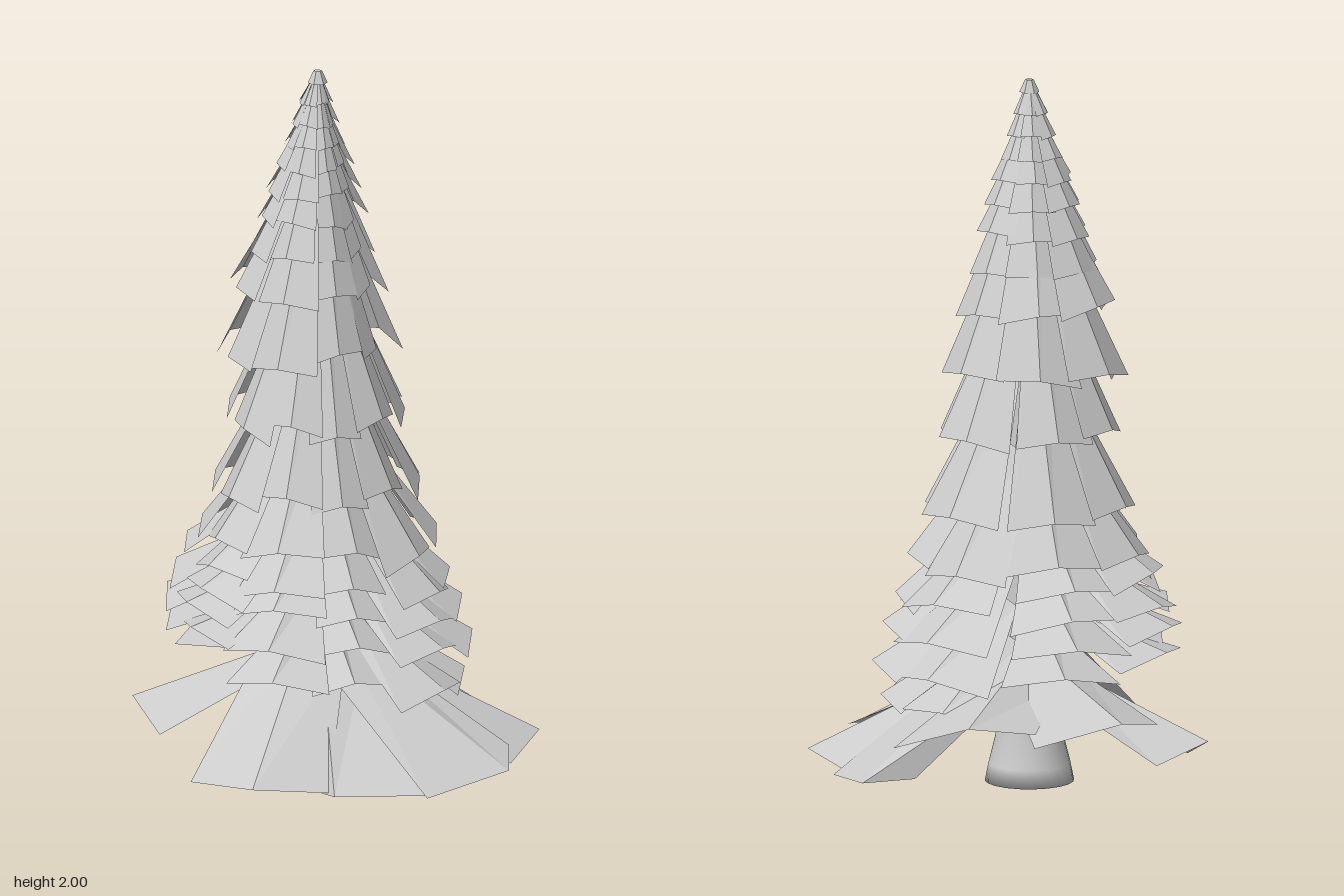
import * as THREE from 'three';

const AXIS = [-0.057, 0.02];
const material = new THREE.MeshStandardMaterial({ color: 0xcccccc, flatShading: true, side: THREE.DoubleSide });
const trunkMaterial = new THREE.MeshStandardMaterial({ color: 0xcccccc });

// Small seeded noise, -1..1
let seed = 7;
const noise = () => {
  seed = (seed * 16807) % 2147483647;
  return (seed / 2147483647) * 2 - 1;
};

// A frond is a folded sheet: two quads meeting on a ridge.
// Points run root left, root ridge, root right, tip left, tip ridge, tip right.
function addFrond(out, rl, r, rr, tl, t, tr) {
  for (const p of [rl, r, t, rl, t, tl, r, rr, tr, r, tr, t]) out.push(...p);
}

function meshFrom(positions, name) {
  const geometry = new THREE.BufferGeometry();
  geometry.setAttribute('position', new THREE.Float32BufferAttribute(positions, 3));
  geometry.computeVertexNormals();
  const mesh = new THREE.Mesh(geometry, material);
  mesh.name = name;
  return mesh;
}

// Point around the trunk axis
const polar = (angle, radius, y) => [
  AXIS[0] + Math.cos(angle) * radius, y, AXIS[1] + Math.sin(angle) * radius,
];

// Broad skirt fronds: tip left, ridge tip, tip right, root height
const SKIRT = [
  [[-0.34, 0.25, -0.44], [-0.21, 0.28, -0.59], [0.03, 0.2, -0.59], 0.36],
  [[0.07, 0.07, -0.4], [0.17, 0.07, -0.52], [0.36, 0.04, -0.35], 0.4],
  [[0.32, 0.05, -0.34], [0.5, 0.08, -0.25], [0.52, 0.05, 0], 0.36],
  [[0.51, 0.1, -0.01], [0.57, 0.07, 0.13], [0.43, 0.04, 0.38], 0.37],
  [[0.43, 0.04, 0.35], [0.2, 0.05, 0.5], [0.14, 0.04, 0.45], 0.38],
  [[0.17, 0.05, 0.47], [-0.01, 0.07, 0.59], [-0.24, 0.04, 0.49], 0.42],
  [[-0.45, 0.08, 0.22], [-0.58, 0.15, 0.11], [-0.5, 0.1, -0.04], 0.34],
  [[-0.55, 0.24, -0.12], [-0.55, 0.28, -0.32], [-0.36, 0.22, -0.48], 0.37],
];

function makeSkirt() {
  const out = [];
  for (const [tl, t, tr, y] of SKIRT) {
    const angle = Math.atan2(t[2] - AXIS[1], t[0] - AXIS[0]);
    addFrond(out,
      polar(angle - 0.85, 0.16, y - 0.06), polar(angle, 0.08, y), polar(angle + 0.85, 0.16, y - 0.06),
      tl, t, tr);
  }
  return meshFrom(out, 'skirtFronds');
}

// Frond directions of each storey: angle in degrees, reach factor, half width in degrees
const LOWER = [[-80, 1, 26], [-35, 1, 24], [5, 0.97, 24], [45, 0.76, 22], [85, 0.88, 25], [130, 0.94, 25], [175, 1.03, 25], [222, 0.94, 27]];
const MIDDLE = [[-80, 1.1, 26], [-35, 0.95, 25], [8, 0.8, 25], [48, 0.77, 22], [85, 0.84, 24], [130, 0.92, 25], [177, 1, 26], [224, 0.98, 27]];
const UPPER = [[-75, 1.03, 32], [-18, 0.69, 32], [42, 0.67, 31], [97, 0.92, 30], [147, 1.06, 29], [190, 1.16, 27], [234, 1.08, 29]];

// Tiers: tip height, tip radius, root height
const TIERS = [
  [0.25, 0.42, 0.44], [0.36, 0.43, 0.55], [0.46, 0.41, 0.66],
  [0.55, 0.385, 0.79], [0.65, 0.34, 0.98], [0.81, 0.3, 1.2],
  [1.01, 0.267, 1.42], [1.2, 0.245, 1.6], [1.375, 0.215, 1.7],
  [1.485, 0.173, 1.75], [1.58, 0.15, 1.79], [1.66, 0.127, 1.84],
  [1.73, 0.106, 1.88], [1.79, 0.085, 1.91], [1.85, 0.066, 1.95],
  [1.91, 0.047, 1.98],
];

function makeTier([yTip, radius, yRoot], index) {
  const out = [];
  const fronds = index < 5 ? LOWER : index < 7 ? MIDDLE : UPPER;
  const slack = Math.min(1, radius / 0.25);
  for (const [degrees, reach, width] of fronds) {
    const angle = THREE.MathUtils.degToRad(degrees + noise() * 4);
    const half = THREE.MathUtils.degToRad(width);
    // Low fronds sit higher towards -x and the front
    const lift = Math.max(0, 1 - index / 5)
      * (0.15 * Math.max(0, -Math.cos(angle)) + 0.09 * Math.max(0, Math.sin(angle)));
    const y = yTip + lift + noise() * 0.018 * slack;
    const r = radius * reach * (1 + noise() * 0.03);
    const fold = 0.07 * radius;
    const rootY = yRoot + lift * 0.4;
    const inner = r * 0.28;
    const tilt = noise() * 0.015 * slack;
    addFrond(out,
      polar(angle - half, inner, rootY - fold), polar(angle, inner, rootY), polar(angle + half, inner, rootY - fold),
      polar(angle - half, r * 0.97, y - fold + tilt), polar(angle, r, y), polar(angle + half, r * 0.97, y - fold - tilt));
  }
  return meshFrom(out, 'frondTier');
}

export function createModel() {
  const tree = new THREE.Group();
  tree.name = 'firTree';

  // Smooth trunk with a flared foot
  const profile = [[0, 0], [0.125, 0], [0.115, 0.05], [0.095, 0.13], [0.085, 0.25], [0.08, 0.5], [0.06, 1.1], [0.025, 1.7], [0, 1.95]];
  const trunk = new THREE.Mesh(
    new THREE.LatheGeometry(profile.map(([x, y]) => new THREE.Vector2(x, y)), 20), trunkMaterial);
  trunk.name = 'trunk';
  trunk.position.set(AXIS[0], 0, AXIS[1]);
  tree.add(trunk);

  const foliage = new THREE.Group();
  foliage.name = 'foliage';
  foliage.add(makeSkirt(), ...TIERS.map(makeTier));

  // Small blunt cap on the crown
  const tip = new THREE.Mesh(new THREE.CylinderGeometry(0.012, 0.028, 0.035, 6), material);
  tip.name = 'crownTip';
  tip.position.set(AXIS[0], 1.9825, AXIS[1]);
  foliage.add(tip);
  tree.add(foliage);
  return tree;
}
